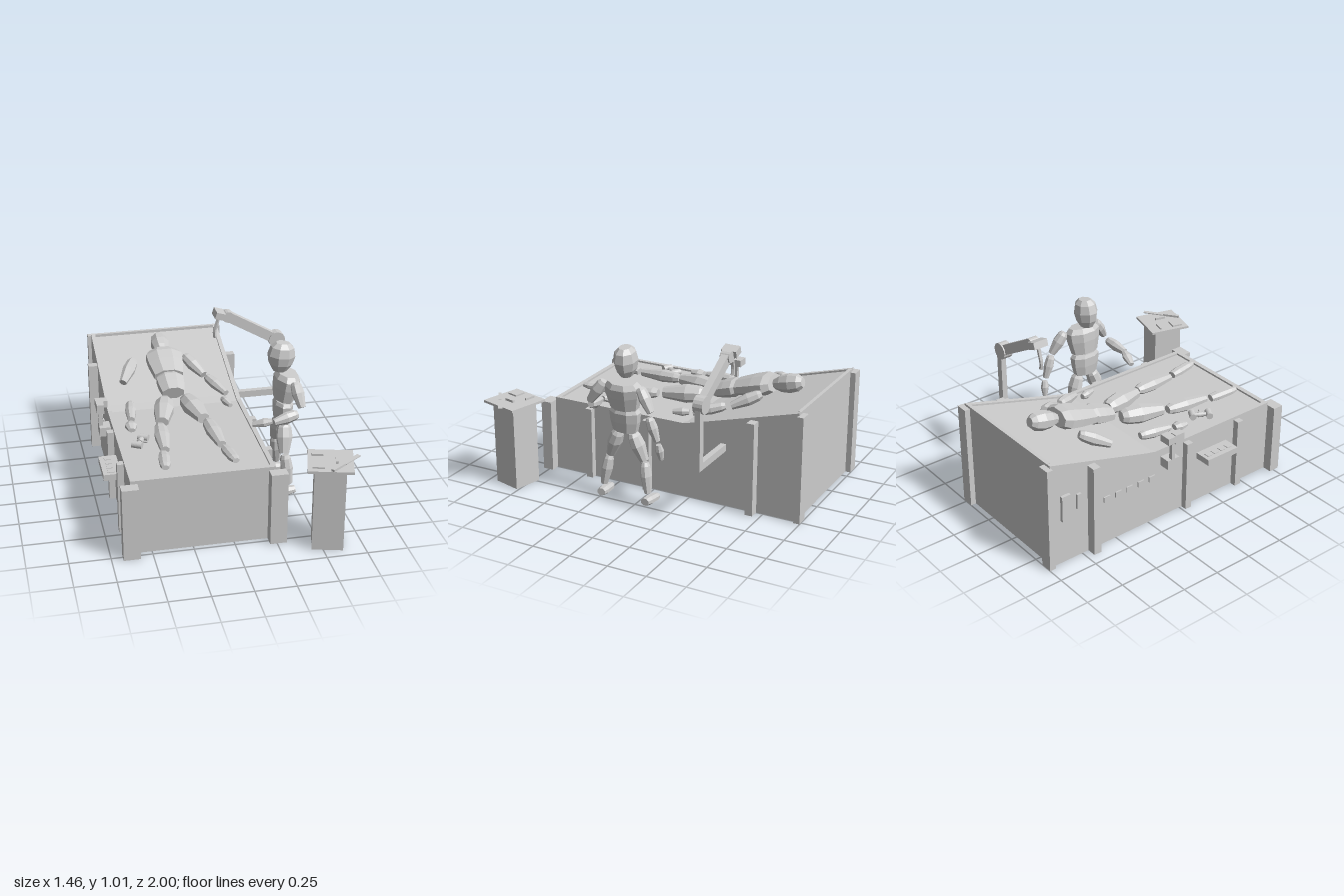
import * as THREE from 'three';

const grey = new THREE.MeshStandardMaterial({ color: 0xcccccc, flatShading: true });
grey.name = 'plain grey';
const V = (p) => new THREE.Vector3(...p);

function add(parent, name, geometry, position = [0, 0, 0]) {
  const mesh = new THREE.Mesh(geometry, grey);
  mesh.name = name;
  mesh.position.set(...position);
  parent.add(mesh);
  return mesh;
}

// Box given by its minimum and maximum corners
function span(parent, name, [x0, y0, z0], [x1, y1, z1]) {
  return add(parent, name, new THREE.BoxGeometry(x1 - x0, y1 - y0, z1 - z0),
    [(x0 + x1) / 2, (y0 + y1) / 2, (z0 + z1) / 2]);
}

// Faceted body segment from a to b; profile is [t, radius factor] pairs
const PROFILES = {
  limb: [[0, 0.6], [0.12, 0.85], [0.45, 1], [1, 0.6]],
  chest: [[0, 0.78], [0.5, 0.96], [0.82, 1], [1, 0.78]],
  belly: [[0, 0.8], [0.45, 0.95], [0.85, 1], [1, 0.85]],
  head: [[0, 0.5], [0.25, 0.85], [0.55, 1], [0.85, 0.85], [1, 0.5]],
  hand: [[0, 0.65], [0.4, 1], [1, 0.55]],
  foot: [[0, 0.8], [0.3, 1], [0.8, 0.9], [1, 0.6]],
};
function segment(parent, name, kind, a, b, width, depth, side) {
  const from = V(a), to = V(b), dir = to.clone().sub(from), len = dir.length();
  dir.normalize();
  const pts = [[0, 0], ...PROFILES[kind].map(([t, r]) => [r, t]), [0, 1]];
  const geo = new THREE.LatheGeometry(pts.map(([r, t]) => new THREE.Vector2(r, t)), 8, Math.PI / 8);
  geo.scale(width / 1.848, len, depth / 1.848);
  const x = V(side).addScaledVector(dir, -V(side).dot(dir)).normalize();
  const z = new THREE.Vector3().crossVectors(x, dir);
  geo.applyMatrix4(new THREE.Matrix4().makeBasis(x, dir, z));
  return add(parent, name, geo, a);
}

// Solid strip following the side outline of the bed, between x0 and x1
function bedStrip(parent, name, x0, x1, drop, zFront, zBack) {
  const top = (z) => 0.49 - drop + Math.max(0, -0.2 - z) * 0.275;
  const s = new THREE.Shape();
  s.moveTo(-zFront, 0);
  s.lineTo(-zBack, 0);
  s.lineTo(-zBack, top(zBack));
  s.lineTo(0.27, top(-0.27) - 0.003);
  s.lineTo(0.2, 0.49 - drop);
  s.lineTo(-zFront, 0.49 - drop);
  s.closePath();
  const geo = new THREE.ExtrudeGeometry(s, { depth: x1 - x0, bevelEnabled: false });
  geo.rotateY(Math.PI / 2);
  return add(parent, name, geo, [x0, 0, 0]);
}

function makeBed() {
  const g = new THREE.Group();
  g.name = 'bed';
  bedStrip(g, 'bedBody', -0.593, 0.222, 0.012, 0.69, -0.943);
  bedStrip(g, 'rightRail', -0.62, -0.593, 0, 0.72, -0.965);
  bedStrip(g, 'leftRail', 0.222, 0.25, 0, 0.72, -0.965);
  span(g, 'footBoard', [-0.593, 0, 0.69], [0.222, 0.49, 0.72]);
  span(g, 'headBoard', [-0.593, 0, -0.965], [0.222, 0.7, -0.943]);
  // Corner and side posts, mirrored about the middle of the bed
  const mid = -0.185;
  for (const s of [-1, 1]) {
    const post = (name, inner, outer, h, z0, z1) => {
      const [a, b] = [mid + s * inner, mid + s * outer].sort((p, q) => p - q);
      span(g, name, [a, 0, z0], [b, h, z1]);
    };
    post('frontPost', 0.392, 0.495, 0.47, 0.72, 0.79);
    post('backPost', 0.38, 0.458, 0.685, -1, -0.96);
    post('sidePost', 0.43, 0.475, 0.47, 0.43, 0.475);
    post('sidePost', 0.43, 0.475, 0.47, 0.018, 0.063);
    post('headSidePost', 0.43, 0.495, 0.6, -0.705, -0.655);
  }
  // Controls along the right flank
  span(g, 'sideHandle', [-0.64, 0.3, -0.9], [-0.62, 0.47, -0.84]);
  span(g, 'sideGrip', [-0.635, 0.34, -0.79], [-0.62, 0.44, -0.76]);
  for (let i = 0; i < 5; i++) {
    const z = -0.59 + i * 0.085;
    span(g, 'sideButton', [-0.628, 0.295, z], [-0.62, 0.33, z + 0.045]);
  }
  span(g, 'sideTray', [-0.73, 0.31, 0.13], [-0.62, 0.35, 0.37]);
  for (let i = 0; i < 4; i++) {
    const z = 0.155 + i * 0.053;
    span(g, 'trayButton', [-0.7, 0.35, z], [-0.66, 0.354, z + 0.032]);
  }
  span(g, 'bracketBase', [-0.69, 0.38, -0.16], [-0.62, 0.44, -0.07]);
  span(g, 'bracketStem', [-0.69, 0.42, -0.13], [-0.665, 0.57, -0.105]);
  span(g, 'bracketHead', [-0.705, 0.56, -0.17], [-0.63, 0.605, -0.115]);
  span(g, 'bracketPlate', [-0.705, 0.55, -0.115], [-0.66, 0.61, -0.05]);
  return g;
}

function makeLyingFigure() {
  const g = new THREE.Group();
  g.name = 'lyingFigure';
  const part = (name, kind, a, b, w, d, side = [1, 0, 0]) => segment(g, name, kind, a, b, w, d, side);
  part('head', 'head', [-0.19, 0.672, -0.61], [-0.19, 0.715, -0.8], 0.115, 0.115);
  part('chest', 'chest', [-0.19, 0.615, -0.375], [-0.19, 0.68, -0.61], 0.235, 0.125);
  part('belly', 'belly', [-0.19, 0.565, -0.22], [-0.19, 0.61, -0.37], 0.175, 0.11);
  part('rightUpperArm', 'limb', [-0.39, 0.65, -0.59], [-0.485, 0.57, -0.43], 0.08, 0.075);
  part('leftUpperArm', 'limb', [-0.045, 0.65, -0.59], [0.05, 0.575, -0.43], 0.08, 0.075);
  part('rightForearm', 'limb', [-0.475, 0.53, -0.2], [-0.5, 0.52, 0.01], 0.068, 0.065);
  part('leftForearm', 'limb', [0.065, 0.575, -0.4], [0.155, 0.53, -0.22], 0.07, 0.065);
  part('rightHand', 'hand', [-0.51, 0.515, 0.04], [-0.515, 0.51, 0.13], 0.075, 0.05);
  part('leftHand', 'hand', [0.125, 0.515, -0.18], [0.155, 0.51, -0.08], 0.05, 0.05);
  part('rightThigh', 'limb', [-0.255, 0.545, -0.17], [-0.32, 0.53, 0.1], 0.125, 0.11);
  part('leftThigh', 'limb', [-0.12, 0.545, -0.17], [-0.06, 0.53, 0.1], 0.125, 0.11);
  part('rightShin', 'limb', [-0.34, 0.525, 0.13], [-0.36, 0.51, 0.42], 0.09, 0.075);
  part('leftShin', 'limb', [-0.04, 0.525, 0.13], [-0.013, 0.51, 0.42], 0.09, 0.075);
  part('rightFoot', 'foot', [-0.375, 0.505, 0.455], [-0.397, 0.515, 0.645], 0.068, 0.05);
  part('leftFoot', 'foot', [0, 0.505, 0.455], [0.025, 0.515, 0.645], 0.068, 0.05);
  return g;
}

function makeStandingFigure() {
  const g = new THREE.Group();
  g.name = 'standingFigure';
  const part = (name, kind, a, b, w, d, side = [0, 0, 1]) => segment(g, name, kind, a, b, w, d, side);
  part('head', 'head', [0.425, 0.81, 0.087], [0.445, 0.995, 0.087], 0.138, 0.165);
  part('chest', 'chest', [0.455, 0.615, 0.087], [0.48, 0.79, 0.087], 0.225, 0.15);
  part('belly', 'belly', [0.45, 0.46, 0.087], [0.455, 0.608, 0.087], 0.195, 0.115);
  // Legs mirrored about the body
  for (const [s, n] of [[-1, 'left'], [1, 'right']]) {
    const z = (d) => 0.082 + s * d;
    part(n + 'Thigh', 'limb', [0.455, 0.455, z(0.05)], [0.44, 0.28, z(0.118)], 0.085, 0.1);
    part(n + 'Shin', 'limb', [0.445, 0.272, z(0.125)], [0.465, 0.08, z(0.155)], 0.065, 0.075);
    part(n + 'Foot', 'foot', [0.505, 0.034, z(0.155)], [0.36, 0.022, z(0.165)], 0.065, 0.055);
    part(n + 'UpperArm', 'limb', [0.495, 0.775, z(0.125)], [0.52, 0.64, z(0.212)], 0.07, 0.075);
  }
  part('leftForearm', 'limb', [0.535, 0.615, -0.125], [0.53, 0.47, -0.175], 0.06, 0.065);
  part('leftHand', 'hand', [0.53, 0.45, -0.185], [0.515, 0.35, -0.195], 0.05, 0.05);
  part('rightForearm', 'limb', [0.49, 0.605, 0.305], [0.335, 0.575, 0.33], 0.065, 0.07);
  part('rightHand', 'hand', [0.325, 0.58, 0.32], [0.21, 0.55, 0.285], 0.06, 0.05);
  return g;
}

function makeLampArm() {
  const g = new THREE.Group();
  g.name = 'mechanicalArm';
  const z = -0.478;
  span(g, 'armSupport', [0.25, 0.365, z - 0.018], [0.6, 0.41, z + 0.018]);
  span(g, 'armPost', [0.555, 0.365, z - 0.018], [0.6, 0.77, z + 0.018]);
  const joint = (name, x, y, r, w) =>
    add(g, name, new THREE.CylinderGeometry(r, r, w, 16).rotateX(Math.PI / 2), [x, y, z]);
  joint('elbowJoint', 0.55, 0.77, 0.055, 0.062);
  joint('wristJoint', 0.22, 0.96, 0.037, 0.062);
  const bar = add(g, 'armBar', new THREE.BoxGeometry(0.38, 0.065, 0.045), [0.385, 0.865, z]);
  bar.rotation.z = Math.atan2(-0.19, 0.33);
  const head = add(g, 'armHead', new THREE.BoxGeometry(0.065, 0.045, 0.1), [0.165, 0.977, z]);
  head.rotation.z = -0.3;
  const curve = new THREE.CatmullRomCurve3([V([0.165, 0.97, z]), V([0.148, 0.91, z]), V([0.134, 0.86, z]), V([0.138, 0.815, z])]);
  add(g, 'armClaw', new THREE.TubeGeometry(curve, 8, 0.013, 5, false));
  return g;
}

function makeStand() {
  const g = new THREE.Group();
  g.name = 'instrumentStand';
  g.position.set(0.548, 0, 0.83);
  g.rotation.y = -Math.PI / 12;
  span(g, 'column', [-0.094, 0, -0.094], [0.094, 0.54, 0.094]);
  span(g, 'standTop', [-0.135, 0.54, -0.135], [0.135, 0.555, 0.135]);
  span(g, 'dish', [-0.107, 0.555, 0.03], [-0.037, 0.565, 0.1]);
  span(g, 'smallTool', [-0.11, 0.555, -0.065], [-0.04, 0.568, -0.052]);
  span(g, 'smallTool', [0.03, 0.555, -0.035], [0.045, 0.57, 0.035]);
  const knife = new THREE.Group();
  knife.name = 'knife';
  knife.position.set(0.085, 0.562, 0.038);
  knife.rotation.y = 0.88;
  span(knife, 'blade', [-0.01, -0.003, -0.015], [0.13, 0.003, 0.012]);
  span(knife, 'handle', [-0.12, -0.007, -0.01], [-0.01, 0.007, 0.01]);
  g.add(knife);
  return g;
}

// Small clamp with a round bar and two round ends
function makeClamp() {
  const g = new THREE.Group();
  g.name = 'clamp';
  g.position.set(-0.487, 0.508, 0.273);
  g.rotation.y = 1.04;
  const rod = (name, r, len, pos, turn) => {
    const geo = new THREE.CylinderGeometry(r, r, len, 24, 4);
    add(g, name, turn ? geo.rotateX(Math.PI / 2) : geo.rotateZ(Math.PI / 2), pos);
  };
  rod('clampBar', 0.012, 0.1, [0, 0, 0], false);
  rod('clampCollar', 0.018, 0.03, [0, 0, 0], false);
  for (const s of [-1, 1]) rod('clampEnd', 0.021, 0.065, [s * 0.052, 0, 0], true);
  rod('clampStub', 0.007, 0.04, [0, 0, 0.028], true);
  return g;
}

export function createModel() {
  const model = new THREE.Group();
  model.name = 'operatingRoom';
  model.add(makeBed(), makeLyingFigure(), makeStandingFigure(), makeLampArm(), makeStand(), makeClamp());
  return model;
}
